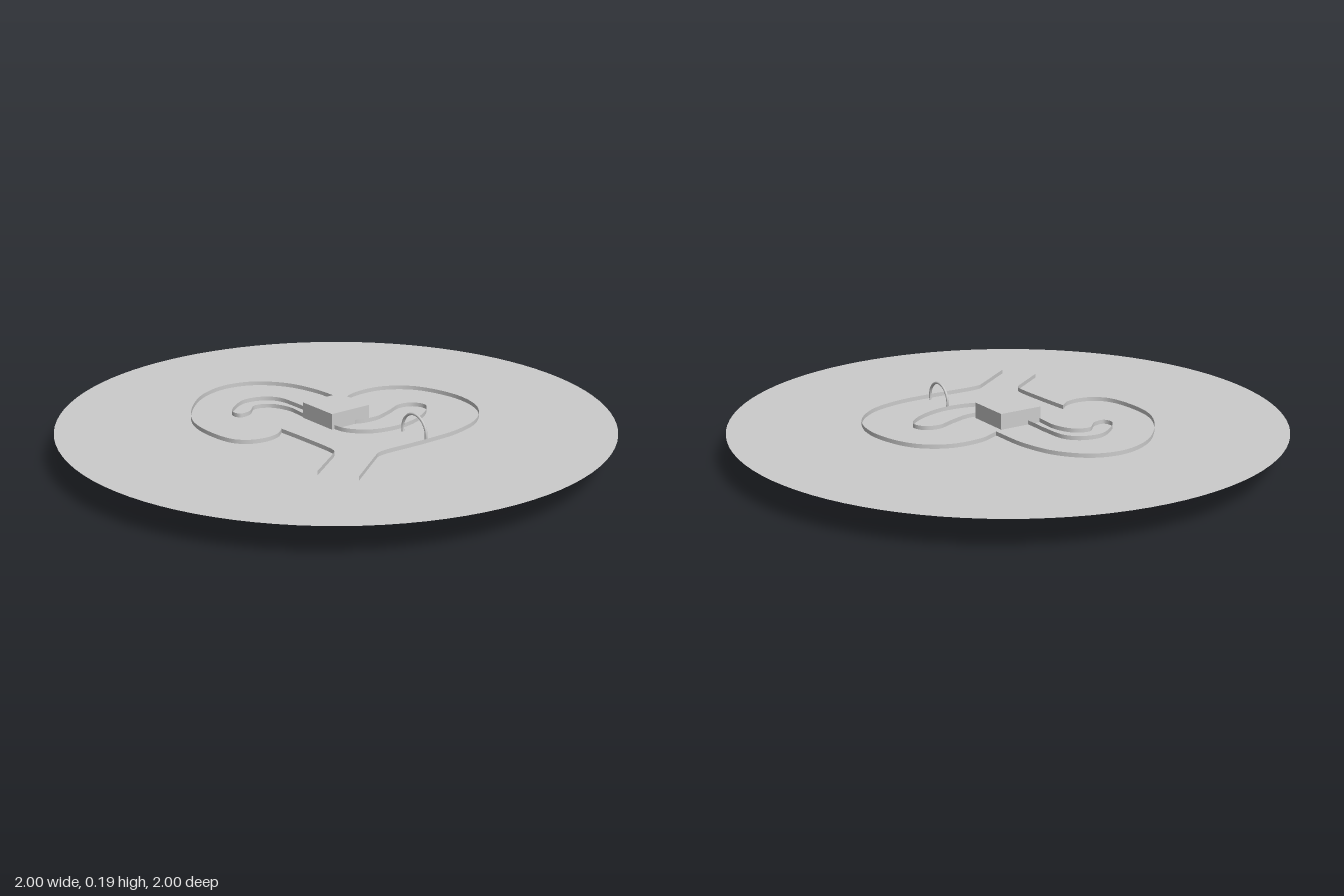
import * as THREE from 'three';

const FLOOR = 0.11, WALL = 0.015;
const grey = new THREE.MeshStandardMaterial({ color: 0xcccccc });
const thin = new THREE.MeshStandardMaterial({ color: 0xcccccc, side: THREE.DoubleSide });

// Smooth curve through [x, z] points on the floor
function curve(points, closed = false) {
  const c = new THREE.CatmullRomCurve3(points.map(([x, z]) => new THREE.Vector3(x, FLOOR, z)), closed);
  return c.getPoints(points.length * 8);
}

// Thin upright wall following a line of points
function wall(name, line) {
  const positions = [], index = [];
  line.forEach((p, i) => {
    positions.push(p.x, FLOOR, p.z, p.x, FLOOR + WALL, p.z);
    if (i) {
      const a = 2 * (i - 1);
      index.push(a, a + 2, a + 1, a + 1, a + 2, a + 3);
    }
  });
  const g = new THREE.BufferGeometry();
  g.setAttribute('position', new THREE.Float32BufferAttribute(positions, 3));
  g.setIndex(index);
  g.computeVertexNormals();
  const mesh = new THREE.Mesh(g, thin);
  mesh.name = name;
  return mesh;
}

export function createModel() {
  const group = new THREE.Group();
  const add = (name, geometry, material) => {
    const mesh = new THREE.Mesh(geometry, material);
    mesh.name = name;
    group.add(mesh);
    return mesh;
  };

  // Flat round ground
  add('ground', new THREE.CircleGeometry(1, 96).rotateX(-Math.PI / 2), thin).position.y = FLOOR;

  // Central block passing through the ground
  add('centreBlock', new THREE.BoxGeometry(0.168, 0.168, 0.168), grey).position.y = 0.084;

  // Outer track wall: entry side, front-left lobe, back lobe and the other entry side
  const entry = [
    new THREE.Vector3(0.41, FLOOR, 0.4),
    ...curve([[0.31, 0.255], [0.292, 0.238], [0.265, 0.233], [0.13, 0.235], [0, 0.242]]),
  ];
  const frontLobe = curve([
    [0, 0.242], [0.03, 0.28], [0.042, 0.33], [0.03, 0.39], [-0.015, 0.437], [-0.13, 0.458],
    [-0.26, 0.44], [-0.395, 0.355], [-0.5, 0.235], [-0.538, 0.11], [-0.51, 0], [-0.42, -0.085],
    [-0.29, -0.127], [-0.13, -0.135],
  ]);
  const backLobe = curve([
    [-0.13, -0.135], [-0.165, -0.22], [-0.16, -0.345], [-0.085, -0.445], [0.09, -0.498],
    [0.235, -0.468], [0.34, -0.37], [0.387, -0.235], [0.395, -0.08], [0.395, 0.125], [0.415, 0.16],
  ]);
  group.add(wall('outerWall', [...entry, ...frontLobe, ...backLobe, new THREE.Vector3(0.532, FLOOR, 0.325)]));

  // Inner track wall: one closed island running beneath the block
  group.add(wall('innerWall', curve([
    [0.107, -0.33], [0.06, -0.31], [0.046, -0.26], [0.075, -0.185], [0.1, -0.1], [0.08, -0.015],
    [0, 0.01], [-0.085, 0.03], [-0.19, 0.03], [-0.29, 0.04], [-0.335, 0.08], [-0.35, 0.15],
    [-0.315, 0.22], [-0.26, 0.27], [-0.225, 0.26], [-0.23, 0.215], [-0.27, 0.165], [-0.25, 0.11],
    [-0.18, 0.078], [-0.085, 0.08], [0.07, 0.075], [0.14, 0.06], [0.2, 0], [0.222, -0.1],
    [0.21, -0.185], [0.165, -0.28],
  ], true)));

  // Arch spanning the track, its feet meeting the ground
  const foot = 0.27;
  const arch = add('trackArch', new THREE.TorusGeometry(0.062, 0.005, 8, 32, Math.PI + 2 * foot).rotateZ(-foot), grey);
  arch.position.set(0.312, 0.127, -0.101);

  return group;
}
